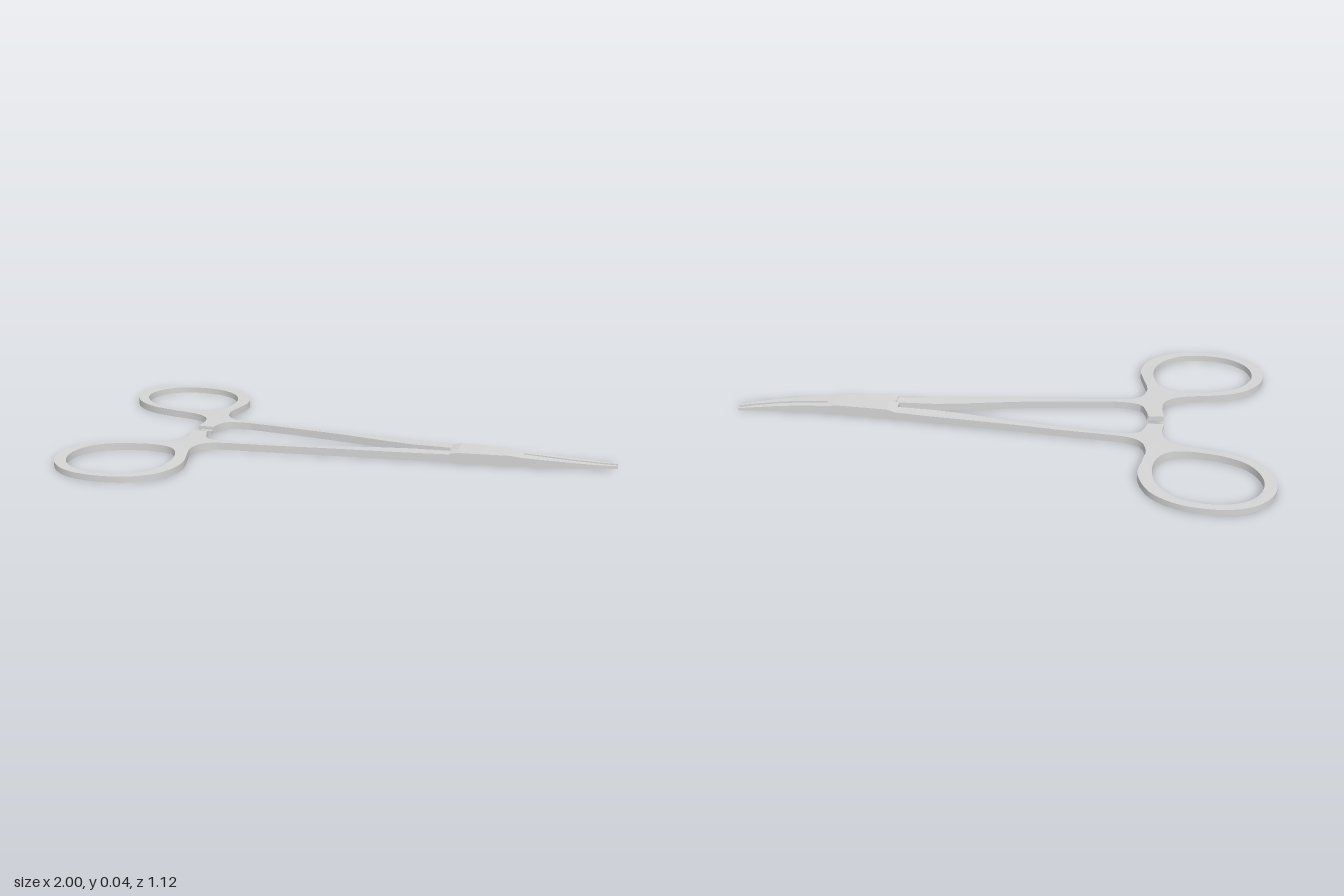
import * as THREE from 'three';
import { toCreasedNormals } from 'three/addons/utils/BufferGeometryUtils.js';

const steel = new THREE.MeshStandardMaterial({ color: 0xd4d4d4 });
steel.name = 'steel';

function part(name, geometry, crease) {
  const mesh = new THREE.Mesh(toCreasedNormals(geometry, crease), steel);
  mesh.name = name;
  return mesh;
}

// Bar of rectangular sections along x; each station is [x, zMin, zMax, top, bottom]
function bar(name, stations) {
  const pos = [], index = [];
  for (const [x, z0, z1, top, bottom = 0] of stations) {
    pos.push(x, bottom, z0, x, top, z0, x, top, z1, x, bottom, z1);
  }
  const last = (stations.length - 1) * 4;
  for (let s = 0; s < last; s += 4) {
    for (let i = 0; i < 4; i++) {
      const a = s + i, b = s + (i + 1) % 4;
      index.push(a, b, a + 4, b, b + 4, a + 4);
    }
  }
  index.push(0, 2, 1, 0, 3, 2, last, last + 1, last + 2, last, last + 2, last + 3);
  const geo = new THREE.BufferGeometry();
  geo.setAttribute('position', new THREE.Float32BufferAttribute(pos, 3));
  geo.setIndex(index);
  return part(name, geo, 0.2);
}

function smooth(points, count, closed = false) {
  const curve = new THREE.CatmullRomCurve3(
    points.map(([x, z]) => new THREE.Vector3(x, z, 0)), closed, 'centripetal');
  return curve.getSpacedPoints(count).map(p => new THREE.Vector2(p.x, p.y));
}

// Outlines in x and distance from the centre line
const stubInner = [[-0.42, 0.113], [-0.49, 0.109], [-0.525, 0.097], [-0.538, 0.075], [-0.55, 0.034]];
const ringOuter = [
  [-0.61, 0.034], [-0.605, 0.095], [-0.617, 0.135], [-0.66, 0.168], [-0.72, 0.185],
  [-0.797, 0.199], [-0.877, 0.222], [-0.945, 0.267], [-0.987, 0.325], [-1, 0.39],
  [-0.985, 0.452], [-0.945, 0.503], [-0.877, 0.543], [-0.77, 0.558], [-0.65, 0.537],
  [-0.56, 0.475], [-0.52, 0.375], [-0.535, 0.285], [-0.547, 0.225], [-0.528, 0.165],
  [-0.485, 0.14], [-0.42, 0.13],
];
const ringHole = [
  [-0.956, 0.39], [-0.932, 0.46], [-0.87, 0.51], [-0.77, 0.528], [-0.66, 0.505],
  [-0.592, 0.44], [-0.57, 0.365], [-0.58, 0.285], [-0.62, 0.23], [-0.69, 0.213],
  [-0.76, 0.219], [-0.83, 0.235], [-0.9, 0.27], [-0.942, 0.325],
];

// Finger ring with its neck and ratchet stub; side is -1 (back) or 1 (front)
function fingerRing(side) {
  const flip = pts => pts.map(([x, z]) => [x, z * side]);
  const shape = new THREE.Shape([...smooth(flip(stubInner), 10), ...smooth(flip(ringOuter), 72)]);
  // The hole runs against the outline so that its wall faces inwards
  const hole = smooth(flip(ringHole), 44, true).slice(1).reverse();
  shape.holes.push(new THREE.Path(hole));
  const geo = new THREE.ExtrudeGeometry(shape, { depth: 1, bevelEnabled: false, steps: 1 });
  geo.rotateX(Math.PI / 2).translate(0, 1, 0);
  // The top slopes gently down towards the outer rim
  const p = geo.attributes.position;
  for (let i = 0; i < p.count; i++) {
    const t = THREE.MathUtils.smoothstep(Math.abs(p.getZ(i)), 0.25, 0.56);
    p.setY(i, p.getY(i) * (0.028 - 0.005 * t));
  }
  return part('fingerRing', geo, 0.5);
}

function createModel() {
  const model = new THREE.Group();
  model.name = 'lockingForceps';

  // Back arm
  const backArm = new THREE.Group();
  backArm.name = 'backArm';
  backArm.add(
    fingerRing(-1),
    bar('shank', [
      [-0.42, -0.13, -0.113, 0.028], [-0.25, -0.118, -0.097, 0.028], [-0.07, -0.101, -0.074, 0.029],
      [0.05, -0.091, -0.055, 0.029], [0.14, -0.084, -0.04, 0.029], [0.25, -0.076, -0.027, 0.029],
      [0.39, -0.064, -0.022, 0.03],
    ]),
    bar('ratchetLip', [[-0.61, -0.034, -0.027, 0.015], [-0.553, -0.034, -0.021, 0.015]]),
    bar('jaw', [
      [0.66, -0.05, -0.022, 0.033], [0.75, -0.048, -0.025, 0.028], [0.84, -0.051, -0.029, 0.022],
      [0.92, -0.057, -0.041, 0.016], [0.97, -0.062, -0.051, 0.012], [0.998, -0.065, -0.056, 0.01],
    ]),
  );

  // Front arm
  const frontArm = new THREE.Group();
  frontArm.name = 'frontArm';
  frontArm.add(
    fingerRing(1),
    bar('shank', [
      [-0.42, 0.113, 0.13, 0.028], [-0.25, 0.095, 0.115, 0.028], [-0.07, 0.07, 0.097, 0.029],
      [0.05, 0.05, 0.086, 0.029], [0.14, 0.034, 0.077, 0.029], [0.25, 0.018, 0.066, 0.029],
      [0.405, 0.011, 0.05, 0.03],
    ]),
    bar('ratchetLip', [[-0.61, 0.02, 0.034, 0.028, 0.013], [-0.553, 0.015, 0.034, 0.028, 0.013]]),
    bar('jaw', [
      [0.66, -0.012, 0.03, 0.033], [0.75, -0.013, 0.02, 0.028], [0.84, -0.017, 0.006, 0.022],
      [0.92, -0.028, -0.01, 0.016], [0.97, -0.037, -0.024, 0.012], [1, -0.043, -0.035, 0.01],
    ]),
  );

  // Raised box joint where the arms cross
  const joint = new THREE.Group();
  joint.name = 'boxJoint';
  joint.add(
    bar('jointBack', [
      [0.39, -0.064, 0.011, 0.03], [0.425, -0.061, 0.011, 0.039], [0.52, -0.056, 0.011, 0.039],
      [0.615, -0.052, 0.005, 0.039], [0.66, -0.05, 0.003, 0.033],
    ]),
    bar('jointFront', [
      [0.4, 0.011, 0.055, 0.035], [0.425, 0.011, 0.053, 0.039], [0.52, 0.011, 0.044, 0.039],
      [0.615, 0.005, 0.035, 0.039], [0.66, 0.003, 0.03, 0.033],
    ]),
  );

  model.add(backArm, frontArm, joint);
  return model;
}

export { createModel };
